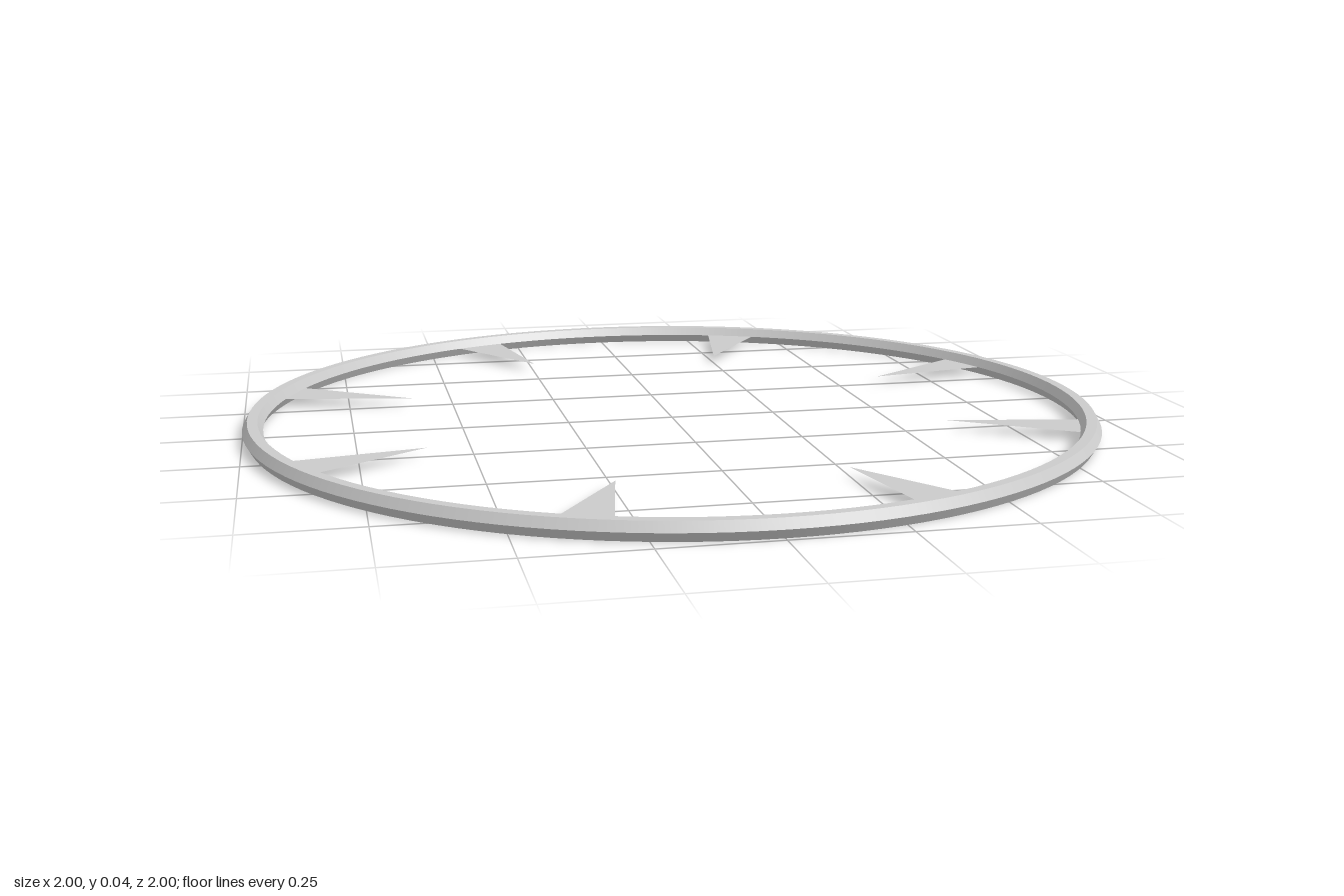
import * as THREE from 'three';

export function createModel() {
  const group = new THREE.Group();
  const material = new THREE.MeshStandardMaterial({ color: 0xcccccc, side: THREE.DoubleSide });
  const tube = 0.0235, radius = 1 - tube, midY = tube * Math.sin(Math.PI / 3);

  // Thin hoop with a hexagonal section: each facet is its own lathe band, so
  // it is smooth around the hoop and sharp between facets
  const hoop = new THREE.Group();
  hoop.name = 'hoop';
  const corner = (i) => new THREE.Vector2(
    radius + tube * Math.cos(i * Math.PI / 3),
    midY + tube * Math.sin(i * Math.PI / 3));
  for (let i = 0; i < 6; i++) {
    const band = new THREE.Mesh(new THREE.LatheGeometry([corner(i), corner(i + 1)], 128), material);
    band.name = 'hoopFacet';
    hoop.add(band);
  }
  group.add(hoop);

  // Flat triangular spikes pointing at the centre
  const outline = new THREE.Shape();
  outline.moveTo(0.65, 0);
  outline.lineTo(radius, -0.069);
  outline.lineTo(radius, 0.069);
  outline.closePath();
  const spikeGeometry = new THREE.ShapeGeometry(outline);
  spikeGeometry.rotateX(-Math.PI / 2);
  for (let i = 0; i < 8; i++) {
    const spike = new THREE.Mesh(spikeGeometry, material);
    spike.name = 'spike';
    spike.position.y = midY;
    spike.rotation.y = (i + 0.5) * Math.PI / 4;
    group.add(spike);
  }
  return group;
}
